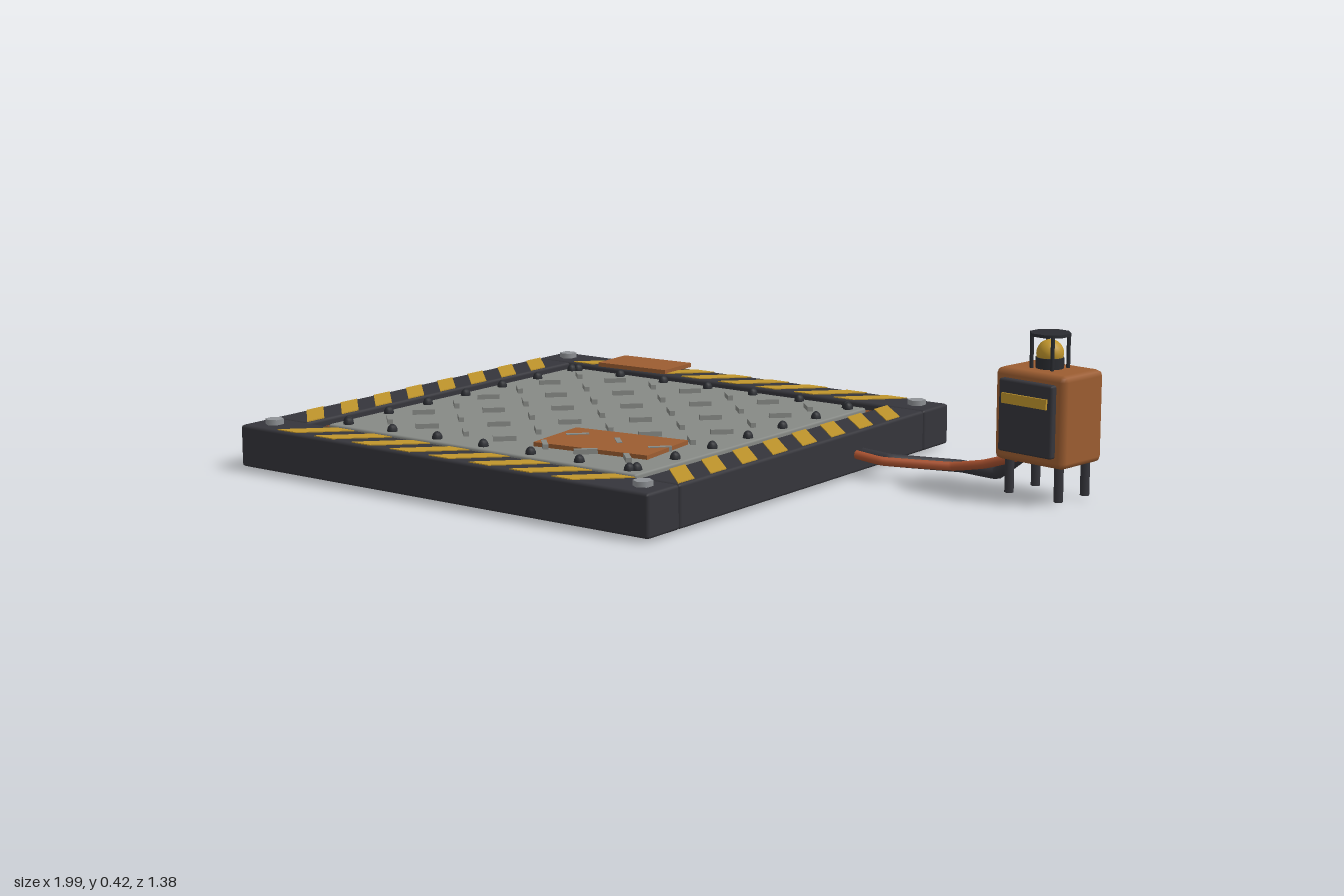
import * as THREE from 'three';
import { RoundedBoxGeometry } from 'three/addons/geometries/RoundedBoxGeometry.js';

const mat = (name, color) => {
  const m = new THREE.MeshStandardMaterial({ color });
  m.name = name;
  return m;
};

export function createModel() {
  const dark = mat('dark frame', 0x35353b);
  const yellow = mat('hazard yellow', 0xc0952c);
  const steel = mat('plate steel', 0x868985);
  const bolt = mat('bolt steel', 0x8f9296);
  const rust = mat('rust orange', 0x9c5d31);
  const brown = mat('rust brown', 0x7a4626);
  const black = mat('rivet black', 0x2a2c31);
  const copper = mat('copper cable', 0xaa5230);

  const model = new THREE.Group();
  model.name = 'platformWithControlBox';
  const add = (parent, name, geo, material, x = 0, y = 0, z = 0, ry = 0) => {
    const mesh = new THREE.Mesh(geo, material);
    mesh.name = name;
    mesh.position.set(x, y, z);
    mesh.rotation.y = ry;
    parent.add(mesh);
    return mesh;
  };
  const box = (w, h, d) => new THREE.BoxGeometry(w, h, d);
  const rbox = (w, h, d, r) => new RoundedBoxGeometry(w, h, d, 1, r);
  const cyl = (r, h, n) => new THREE.CylinderGeometry(r, r, h, n);

  // Platform, centred on its own axis
  const platform = new THREE.Group();
  platform.name = 'platform';
  platform.position.set(-0.3225, 0, 0.005);
  model.add(platform);

  add(platform, 'base', box(1.13, 0.1, 1.13), brown, 0, 0.05, 0);
  add(platform, 'deckPlate', rbox(1.03, 0.025, 1.03, 0.006), steel, 0, 0.1025, 0);

  // Frame beams: long ones front and back, short ones between them
  const longBeam = rbox(1.355, 0.112, 0.125, 0.008);
  const shortBeam = rbox(0.123, 0.112, 1.104, 0.008);
  for (const s of [-1, 1]) {
    add(platform, s > 0 ? 'frontBeam' : 'backBeam', longBeam, dark, 0, 0.064, s * 0.615);
    add(platform, s > 0 ? 'leftBeam' : 'rightBeam', shortBeam, dark, s * 0.616, 0.064, 0);
  }

  // Slanted hazard stripes, the same row on all four beams
  const half = 0.054, stripeWidth = 0.065, pitch = 0.132;
  const stripe = new THREE.Shape([
    new THREE.Vector2(0, -half), new THREE.Vector2(stripeWidth, -half),
    new THREE.Vector2(stripeWidth + 2 * half, half), new THREE.Vector2(2 * half, half),
  ]);
  const stripeGeo = new THREE.ExtrudeGeometry(stripe, { depth: 0.003, bevelEnabled: false });
  stripeGeo.rotateX(-Math.PI / 2);
  for (let side = 0; side < 4; side++) {
    const row = new THREE.Group();
    row.name = 'hazardStripes';
    row.rotation.y = side * Math.PI / 2;
    for (let i = 0; i < 8; i++) {
      add(row, 'stripe', stripeGeo, yellow, -0.549 + i * pitch, 0.1195, 0.615);
    }
    platform.add(row);
  }

  // Corner bolts
  for (const sx of [-1, 1]) for (const sz of [-1, 1]) {
    add(platform, 'cornerBolt', cyl(0.025, 0.016, 6), bolt, sx * 0.614, 0.126, sz * 0.615);
  }

  // Rivets around the deck plate
  const rivetGeo = new THREE.SphereGeometry(0.014, 8, 4, 0, Math.PI * 2, 0, Math.PI / 2);
  rivetGeo.scale(1, 1.4, 1);
  for (let i = -3; i <= 3; i++) for (const s of [-1, 1]) {
    add(platform, 'rivet', rivetGeo, black, i * 0.157, 0.115, s * 0.484);
    add(platform, 'rivet', rivetGeo, black, s * 0.484, 0.115, i * 0.157);
  }

  // Raised tread bars, alternating diagonals
  const treadGeo = box(0.06, 0.014, 0.014);
  for (let i = -3; i <= 3; i++) for (let j = -3; j <= 3; j++) {
    const turn = (i + j) % 2 ? 1 : -1;
    add(platform, 'treadBar', treadGeo, steel, i * 0.1335, 0.121, j * 0.1335, turn * Math.PI / 4);
  }

  // Rusty patches
  add(model, 'deckPatch', box(0.335, 0.012, 0.21), rust, -0.067, 0.12, 0.288, 0.13);
  add(model, 'framePatch', box(0.235, 0.012, 0.14), rust, -0.652, 0.127, -0.616, 0.065);

  // Cables from the frame to the control box
  const cable = (name, points, radius, material) => {
    const curve = new THREE.CatmullRomCurve3(
      points.map((p) => new THREE.Vector3(...p)), false, 'catmullrom', 0.12);
    add(model, name, new THREE.TubeGeometry(curve, 48, radius, 8), material);
  };
  cable('darkCable', [[0.33, 0.055, -0.245], [0.44, 0.048, -0.245], [0.595, 0.035, -0.343],
    [0.71, 0.035, -0.33], [0.81, 0.11, -0.315]], 0.017, dark);
  cable('copperCable', [[0.33, 0.06, -0.213], [0.435, 0.05, -0.213], [0.6, 0.045, -0.287],
    [0.7, 0.065, -0.283], [0.82, 0.105, -0.275]], 0.012, copper);

  // Control box on four legs, turned slightly
  const control = new THREE.Group();
  control.name = 'controlBox';
  control.position.set(0.876, 0, -0.293);
  control.rotation.y = -0.15;
  model.add(control);

  add(control, 'housing', rbox(0.22, 0.237, 0.162, 0.016), rust, 0, 0.215, 0);
  add(control, 'panel', rbox(0.168, 0.186, 0.03, 0.006), dark, 0, 0.217, 0.083);
  add(control, 'panelStripe', box(0.14, 0.026, 0.008), yellow, 0, 0.262, 0.1);
  for (const sx of [-1, 1]) for (const sz of [-1, 1]) {
    add(control, 'leg', cyl(0.012, 0.1, 8), dark, sx * 0.078, 0.06, sz * 0.054);
  }

  // Caged beacon on top
  add(control, 'beaconBase', cyl(0.036, 0.03, 12), black, 0, 0.346, 0);
  add(control, 'beaconLamp', new THREE.SphereGeometry(0.035, 16, 12), yellow, 0, 0.371, 0);
  add(control, 'cageCap', cyl(0.053, 0.008, 8), black, 0, 0.42, 0, Math.PI / 8);
  for (let i = 0; i < 4; i++) {
    const a = Math.PI / 4 + i * Math.PI / 2;
    add(control, 'cagePost', cyl(0.005, 0.09, 6), black,
      Math.cos(a) * 0.046, 0.374, Math.sin(a) * 0.046);
  }
  return model;
}
